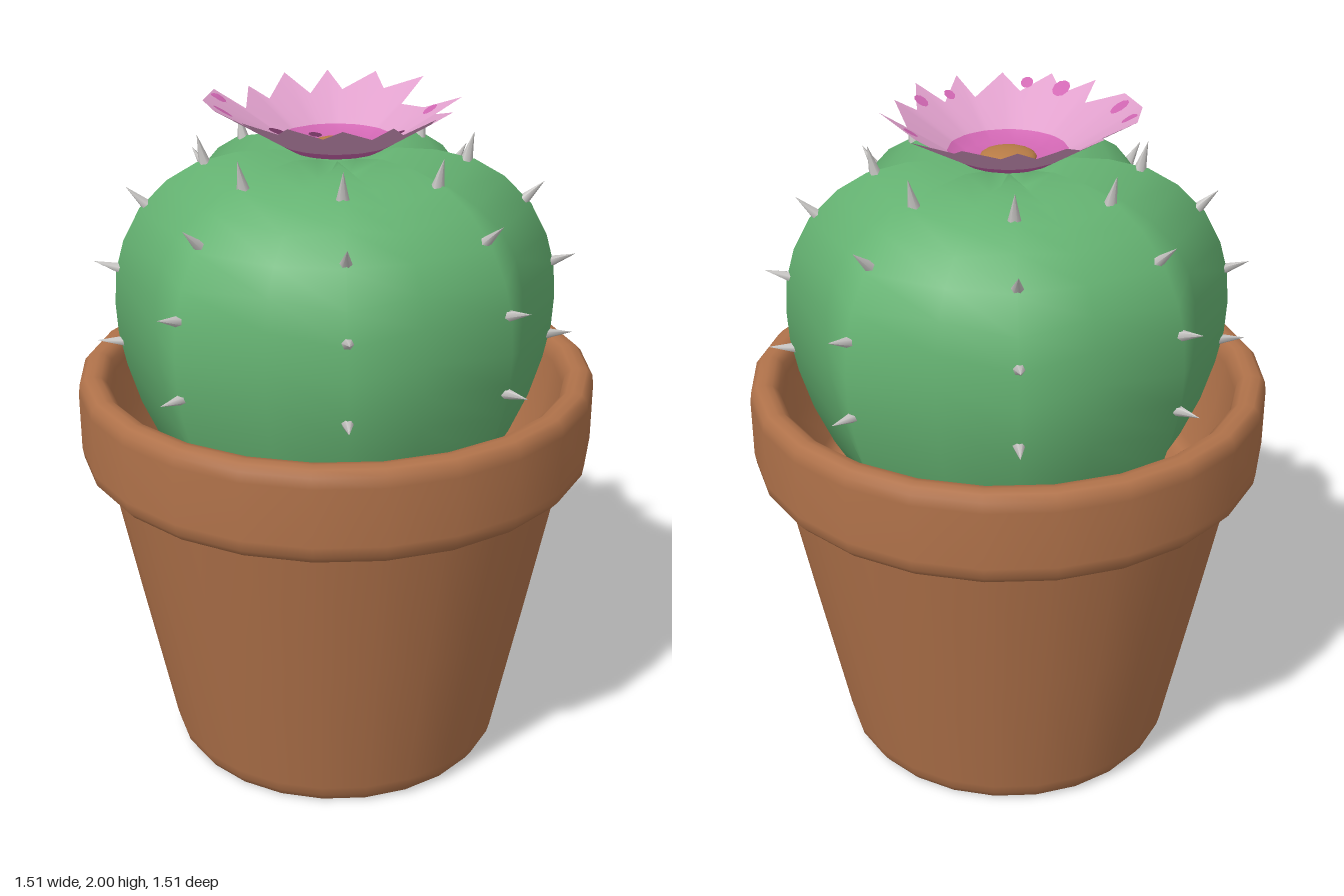
import * as THREE from 'three';
import { mergeVertices } from 'three/addons/utils/BufferGeometryUtils.js';

const mat = (name, color, side = THREE.FrontSide) => {
  const m = new THREE.MeshStandardMaterial({ color, side });
  m.name = name;
  return m;
};
const v2 = (pts) => pts.map(([r, y]) => new THREE.Vector2(r, y));

// Cup-shaped flower surface: flat in the middle, rising outward
const cupHeight = (r) => Math.min(2, 1.864 + Math.max(0, r - 0.13) * 0.61);

// Jagged petal tips and notches, as x, z pairs around the flower
const OUTLINE = [
  [0, -0.355], [0.045, -0.27], [0.13, -0.335], [0.138, -0.25], [0.25, -0.257], [0.238, -0.18],
  [0.347, -0.14], [0.245, -0.08], [0.27, 0.01], [0.327, 0.125], [0.255, 0.105], [0.238, 0.237],
  [0.178, 0.22], [0.137, 0.326], [0.073, 0.265], [0, 0.35], [-0.024, 0.273], [-0.133, 0.322],
  [-0.153, 0.245], [-0.255, 0.245], [-0.246, 0.164], [-0.34, 0.135], [-0.275, 0.075],
  [-0.356, -0.01], [-0.34, -0.14], [-0.263, -0.25], [-0.19, -0.192], [-0.137, -0.3], [-0.089, -0.26],
];

// Band of the flower between two radii; null means the jagged outline
function flowerBand(radii) {
  const pos = [], idx = [], n = OUTLINE.length, w = radii.length;
  for (const [x, z] of OUTLINE) {
    const len = Math.hypot(x, z);
    for (const r of radii) {
      const k = r ?? len;
      pos.push((x / len) * k, cupHeight(k), (z / len) * k);
    }
  }
  for (let i = 0; i < n; i++) {
    for (let j = 0; j < w - 1; j++) {
      const a = i * w + j, b = ((i + 1) % n) * w + j;
      idx.push(a, b, a + 1, b, b + 1, a + 1);
    }
  }
  const g = new THREE.BufferGeometry();
  g.setAttribute('position', new THREE.Float32BufferAttribute(pos, 3));
  g.setIndex(idx);
  g.computeVertexNormals();
  return g;
}

export function createModel() {
  const group = new THREE.Group();
  const terracotta = mat('terracotta', 0xb0724a);
  const green = mat('cactus green', 0x65b372);
  const grey = mat('spine grey', 0xc6c4c2);
  const pink = mat('petal pink', 0xe0a0cc, THREE.DoubleSide);
  const magenta = mat('petal magenta', 0xd066b2, THREE.DoubleSide);
  const ochre = mat('flower centre ochre', 0xb87c46);
  const add = (name, geo, material, parent = group) => {
    const m = new THREE.Mesh(geo, material);
    m.name = name;
    parent.add(m);
    return m;
  };

  // Tapered pot
  add('potBody', new THREE.LatheGeometry(v2([
    [0, 0], [0.46, 0], [0.485, 0.005], [0.502, 0.03], [0.51, 0.06], [0.6, 0.51], [0.68, 0.92], [0.685, 0.96],
  ]), 24), terracotta);

  // Rounded rim, inner wall and floor
  add('potRim', new THREE.LatheGeometry(v2([
    [0.66, 0.936], [0.7, 0.936], [0.73, 0.945], [0.75, 0.968], [0.755, 1.0], [0.755, 1.17], [0.751, 1.2],
    [0.735, 1.217], [0.71, 1.22], [0.69, 1.217], [0.672, 1.2], [0.665, 1.17], [0.64, 1.02],
    [0.59, 0.88], [0.57, 0.85], [0.54, 0.84], [0, 0.84],
  ]), 24), terracotta);

  // Eight-ribbed cactus: every second lathe column is pulled in and down as a groove
  const profile = [
    [0, 0.84], [0.44, 0.85], [0.52, 0.98], [0.575, 1.1], [0.612, 1.22], [0.632, 1.32], [0.637, 1.41],
    [0.63, 1.51], [0.605, 1.6], [0.555, 1.695], [0.475, 1.775], [0.39, 1.825], [0.28, 1.853],
    [0.17, 1.86], [0.08, 1.845], [0, 1.82],
  ];
  const body = new THREE.LatheGeometry(v2(profile), 16);
  const p = body.attributes.position;
  for (let i = 0; i < p.count; i++) {
    if (Math.floor(i / profile.length) % 2) continue;
    const y = p.getY(i), r = Math.hypot(p.getX(i), p.getZ(i));
    const drop = r < 0.01 ? 0 : 0.05 * THREE.MathUtils.smoothstep(y, 1.55, 1.84);
    p.setXYZ(i, p.getX(i) * 0.872, y - drop, p.getZ(i) * 0.872);
  }
  body.deleteAttribute('uv');
  body.deleteAttribute('normal');
  const cactus = mergeVertices(body, 1e-4);
  cactus.computeVertexNormals();
  add('cactusBody', cactus, green);

  // Four spines on the crest of each rib: radius, height, outward and upward lean
  const spines = new THREE.Group();
  spines.name = 'spines';
  group.add(spines);
  const cone = new THREE.ConeGeometry(0.018, 0.085, 6).translate(0, 0.028, 0);
  const up = new THREE.Vector3(0, 1, 0);
  for (let k = 0; k < 8; k++) {
    const a = ((k + 0.5) * Math.PI) / 4;
    for (const [r, y, out, rise] of [[0.625, 1.295, 1, 0.04], [0.625, 1.52, 1, 0.3], [0.54, 1.71, 0.75, 0.7], [0.37, 1.835, 0.25, 1]]) {
      const s = add('spine', cone, grey, spines);
      s.position.set(r * Math.sin(a), y, r * Math.cos(a));
      s.quaternion.setFromUnitVectors(up, new THREE.Vector3(out * Math.sin(a), rise, out * Math.cos(a)).normalize());
    }
  }

  // Flower: magenta throat, jagged pink petals, domed centre
  add('flowerThroat', flowerBand([0.02, 0.13, 0.168]), magenta);
  add('flowerPetals', flowerBand([0.168, null]), pink);
  add('flowerCentre', new THREE.SphereGeometry(0.08, 16, 6, 0, Math.PI * 2, 0, Math.PI / 2)
    .scale(1, 0.3, 1).translate(0, 1.865, 0), ochre);

  // Petal spots draped just above the cup
  for (const [x, z, r] of [[-0.31, -0.065, 0.026], [-0.275, -0.185, 0.022], [-0.25, 0.175, 0.026],
    [-0.18, 0.255, 0.018], [0.05, 0.285, 0.016], [0.15, 0.255, 0.02], [0.265, 0.055, 0.02]]) {
    const spot = new THREE.CircleGeometry(r, 10).rotateX(-Math.PI / 2).translate(x, 0, z);
    const q = spot.attributes.position;
    for (let i = 0; i < q.count; i++) q.setY(i, Math.min(2, cupHeight(Math.hypot(q.getX(i), q.getZ(i))) + 0.005));
    spot.computeVertexNormals();
    add('petalSpot', spot, magenta);
  }
  return group;
}
